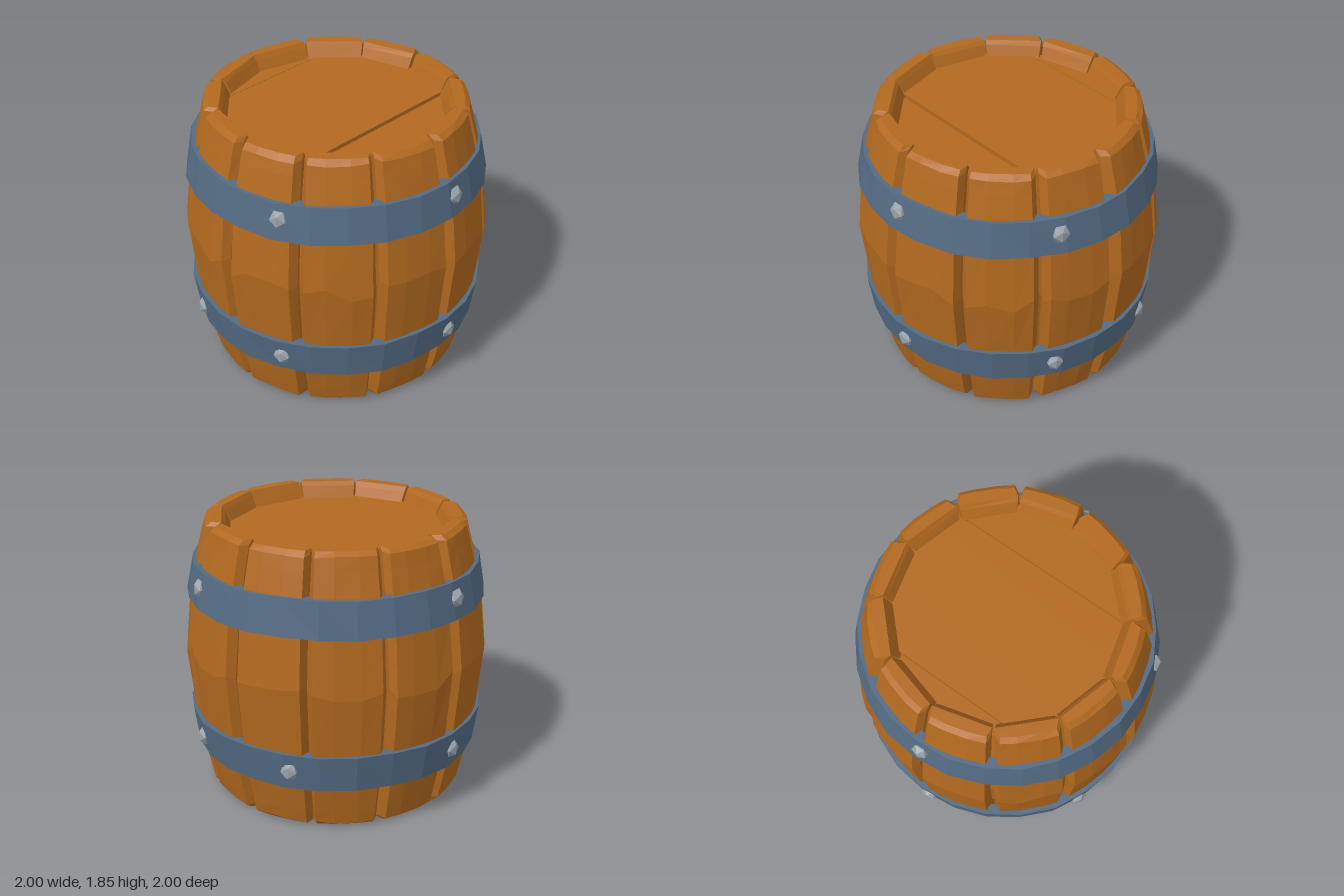
import * as THREE from 'three';

const wood = new THREE.MeshStandardMaterial({ color: 0xb2691f });
wood.name = 'wood';
const iron = new THREE.MeshStandardMaterial({ color: 0x546b83 });
iron.name = 'iron';
const steel = new THREE.MeshStandardMaterial({ color: 0x98a2a9 });
steel.name = 'steel';

const DEG = Math.PI / 180;

// Small seeded generator for hand-hewn irregularity
let seed = 7;
function jitter(amount) {
  seed = (seed * 16807) % 2147483647;
  return (seed / 2147483647 - 0.5) * 2 * amount;
}

// Gives every face its own flat normal
function faceted(geometry) {
  const g = geometry.index ? geometry.toNonIndexed() : geometry;
  g.computeVertexNormals();
  return g;
}

function addMesh(parent, name, geometry, material) {
  const mesh = new THREE.Mesh(geometry, material);
  mesh.name = name;
  parent.add(mesh);
  return mesh;
}

// Joins equal-sized loops (counterclockwise from above, bottom to top) and caps both ends
function loft(loops) {
  const n = loops[0].length;
  const index = [];
  for (let j = 0; j < loops.length - 1; j++) {
    for (let i = 0; i < n; i++) {
      const a = j * n + i, b = j * n + (i + 1) % n;
      index.push(a, b, b + n, a, b + n, a + n);
    }
  }
  const top = (loops.length - 1) * n;
  for (let i = 1; i < n - 1; i++) {
    index.push(0, i + 1, i, top, top + i, top + i + 1);
  }
  const g = new THREE.BufferGeometry();
  g.setAttribute('position', new THREE.Float32BufferAttribute(loops.flat(2), 3));
  g.setIndex(index);
  return faceted(g);
}

// Stave sections: height, outer radius, inner radius
const SECTIONS = [
  [0.0, 0.815, 0.76], [0.03, 0.85, 0.74], [0.12, 0.872, 0.70], [0.32, 0.915, 0.72],
  [0.56, 0.955, 0.76], [0.98, 0.997, 0.8], [1.34, 0.96, 0.76], [1.58, 0.91, 0.72],
  [1.73, 0.872, 0.70], [1.815, 0.85, 0.74], [1.845, 0.815, 0.76],
];

// One curved plank with chamfered long edges
function staveGeometry(middle) {
  const left = 14.4 + jitter(0.3), right = 14.4 + jitter(0.3);
  const leftBevel = 2 + jitter(0.6), rightBevel = 2 + jitter(0.6);
  const push = jitter(0.005);
  const loops = SECTIONS.map(([y, out, inn], k) => {
    const end = k === 0 || k === SECTIONS.length - 1;
    const r = out + push;
    const pts = [
      [-left, inn], [-left, Math.max(inn, r - 0.055)], [-left + leftBevel, r],
      [-5, r - 0.003], [5, r - 0.003],
      [right - rightBevel, r], [right, Math.max(inn, r - 0.055)], [right, inn],
    ];
    return pts.map(([deg, rad]) => {
      const a = (middle + deg) * DEG;
      const dy = end ? 0 : jitter(k === 5 ? 0.05 : 0.008);
      return [Math.sin(a) * rad, y + dy, Math.cos(a) * rad];
    });
  });
  return loft(loops);
}

// Slightly dented hoop from four corner radii
function hoopGeometry(y0, y1, r0, r1, phase) {
  const t = 0.07;
  const profile = [[r0, y0], [r1, y1], [r1 - t, y1], [r0 - t, y0], [r0, y0]]
    .map(([x, y]) => new THREE.Vector2(x, y));
  const g = new THREE.LatheGeometry(profile, 26);
  const p = g.attributes.position;
  for (let i = 0; i < p.count; i++) {
    const x = p.getX(i), y = p.getY(i), z = p.getZ(i);
    const a = Math.atan2(x, z);
    const wave = Math.sin(5 * a + phase + y * 9) + Math.sin(11 * a + phase * 2 + y * 5);
    const s = 1 + 0.003 * wave;
    p.setXYZ(i, x * s, y + 0.004 * Math.sin(7 * a + phase), z * s);
  }
  return faceted(g);
}

// Board of a round lid between two z limits
function boardGeometry(z0, z1, radius, thickness) {
  const shape = new THREE.Shape();
  const steps = 8;
  for (const side of [1, -1]) {
    for (let i = 0; i <= steps; i++) {
      const t = side > 0 ? i / steps : 1 - i / steps;
      const z = z0 + (z1 - z0) * t;
      const x = side * Math.sqrt(Math.max(0, radius * radius - z * z));
      if (side > 0 && i === 0) shape.moveTo(x, -z);
      else shape.lineTo(x, -z);
    }
  }
  const g = new THREE.ExtrudeGeometry(shape, { depth: thickness, bevelEnabled: false });
  return faceted(g.rotateX(-Math.PI / 2));
}

export function createModel() {
  seed = 7;
  const barrel = new THREE.Group();
  barrel.name = 'barrel';

  // Twelve staves
  const staves = new THREE.Group();
  staves.name = 'staves';
  barrel.add(staves);
  for (let i = 0; i < 12; i++) {
    addMesh(staves, 'stave', staveGeometry(15 + i * 30), wood);
  }

  // Solid core that closes the gaps between staves
  const core = [[0, 0.12], [0.77, 0.12], [0.86, 0.5], [0.91, 0.98], [0.86, 1.4], [0.77, 1.72], [0, 1.72]]
    .map(([x, y]) => new THREE.Vector2(x, y));
  addMesh(barrel, 'core', faceted(new THREE.LatheGeometry(core, 24)), wood);

  // Recessed lids of three boards at both ends
  const boards = [[-0.75, -0.595, 0.012], [-0.58, 0.36, 0.02], [0.378, 0.75, 0.01]];
  for (const [name, y, up] of [['topLid', 1.715, 1], ['bottomLid', 0.125, -1]]) {
    const lid = new THREE.Group();
    lid.name = name;
    barrel.add(lid);
    for (const [z0, z1, h] of boards) {
      const thickness = h + 0.015;
      const board = addMesh(lid, 'lidBoard', boardGeometry(z0, z1, 0.752, thickness), wood);
      board.position.y = up > 0 ? y : y - thickness;
    }
  }

  // Two iron hoops
  addMesh(barrel, 'upperHoop', hoopGeometry(1.34, 1.575, 0.982, 0.938, 0.4), iron);
  addMesh(barrel, 'lowerHoop', hoopGeometry(0.31, 0.557, 0.945, 0.983, 2.1), iron);

  // Rivets around the hoops
  const rivet = faceted(new THREE.IcosahedronGeometry(0.06, 0).scale(1, 1.1, 0.75));
  const rows = [
    ['upperRivet', 1.47, 0.95, [3.5, 67, 182, 293]],
    ['lowerRivet', 0.435, 0.955, [3.5, 66, 113, 182, 247, 293]],
  ];
  for (const [name, y, r, angles] of rows) {
    for (const deg of angles) {
      const a = deg * DEG;
      const mesh = addMesh(barrel, name, rivet, steel);
      mesh.position.set(Math.sin(a) * r, y, Math.cos(a) * r);
      mesh.rotation.y = a;
    }
  }
  return barrel;
}
